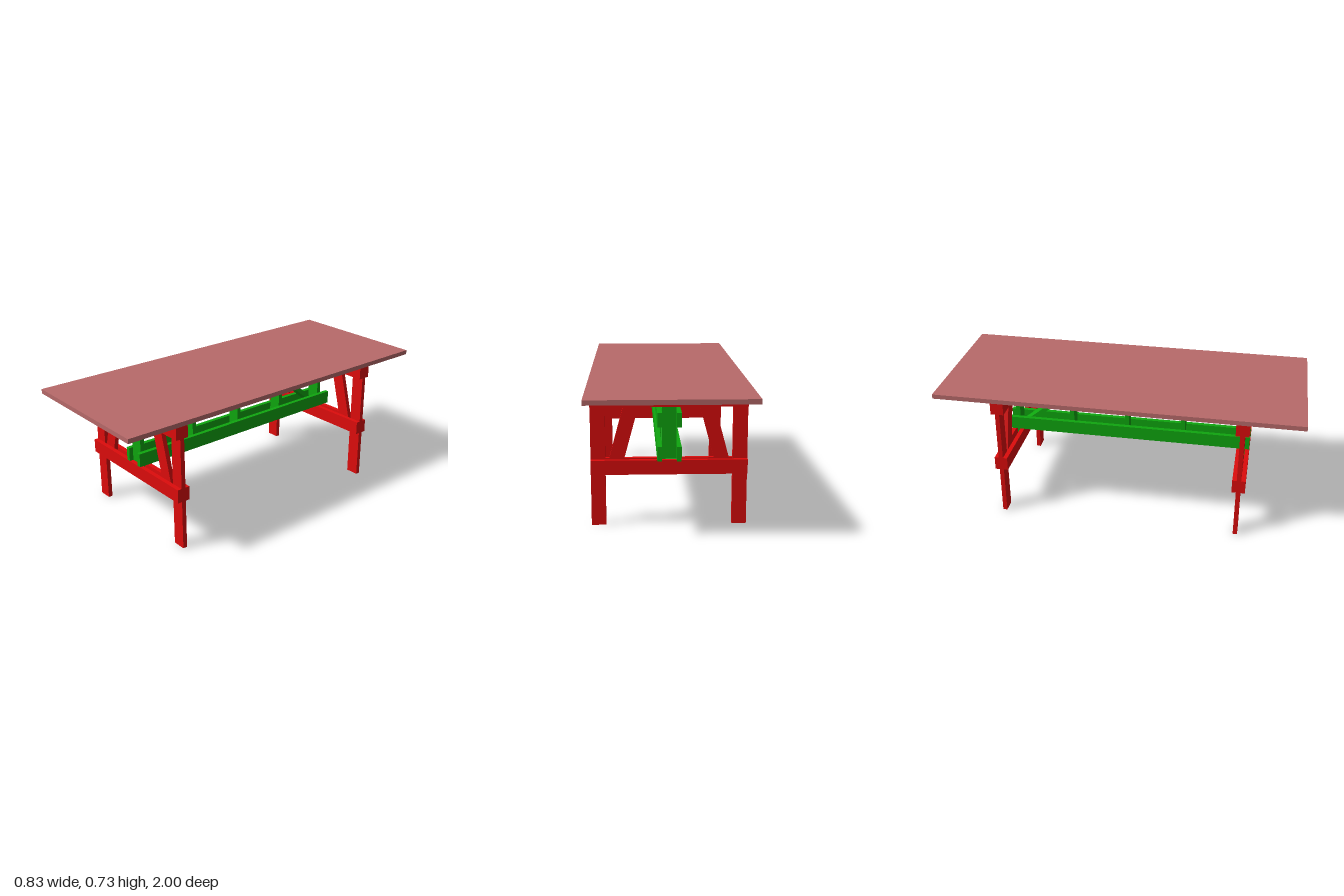
import * as THREE from 'three';

const T = 0.024; // board thickness
const W = 0.075; // board width

const red = new THREE.MeshStandardMaterial({ color: 0xdd0c0c });
const green = new THREE.MeshStandardMaterial({ color: 0x0fa60f });
const wood = new THREE.MeshStandardMaterial({ color: 0xb86a6a });

function addMesh(parent, name, geometry, material) {
  const mesh = new THREE.Mesh(geometry, material);
  mesh.name = name;
  parent.add(mesh);
  return mesh;
}

// Box given by its lower and upper bounds
function board(parent, name, material, [x0, x1], [y0, y1], [z0, z1]) {
  const mesh = addMesh(parent, name, new THREE.BoxGeometry(x1 - x0, y1 - y0, z1 - z0), material);
  mesh.position.set((x0 + x1) / 2, (y0 + y1) / 2, (z0 + z1) / 2);
  return mesh;
}

// Slanted board with level ends, extruded from its outline and centred in depth
function slantedBoard(parent, name, material, points, depth) {
  const shape = new THREE.Shape(points.map(([a, b]) => new THREE.Vector2(a, b)));
  const geometry = new THREE.ExtrudeGeometry(shape, { depth, bevelEnabled: false });
  geometry.translate(0, 0, -depth / 2);
  return addMesh(parent, name, geometry, material);
}

function createTrestle(z) {
  const trestle = new THREE.Group();
  trestle.name = 'trestle';
  trestle.position.z = z;
  const middle = [-T / 2, T / 2];

  for (const s of [-1, 1]) {
    // Leg
    const x = [0.325, 0.4].map((v) => v * s).sort((a, b) => a - b);
    board(trestle, 'leg', red, x, [0, 0.7], middle);

    // Diagonal brace held between the paired rails
    slantedBoard(trestle, 'legBrace', red,
      [[0.25 * s, 0.275], [0.327 * s, 0.275], [0.212 * s, 0.7], [0.135 * s, 0.7]], T);

    // Paired rails sandwiching the legs
    const side = [s * T / 2, s * T * 1.5].sort((a, b) => a - b);
    board(trestle, 'upperRail', red, [-0.4, 0.4], [0.625, 0.7], side);
    board(trestle, 'lowerRail', red, [-0.4, 0.4], [0.275, 0.35], side);
  }

  // Centre post between the rails
  board(trestle, 'centrePost', green, [-W / 2, W / 2], [0.275, 0.7], middle);
  return trestle;
}

function createStretcher() {
  const stretcher = new THREE.Group();
  stretcher.name = 'stretcher';

  // Two levels of paired long beams
  for (const s of [-1, 1]) {
    const x = [s * W / 2, s * (W / 2 + T)].sort((a, b) => a - b);
    for (const y of [0.35, 0.525]) {
      board(stretcher, 'longBeam', green, x, [y, y + W], [-0.708, 0.712]);
    }
  }

  // Upright spacers between the beams
  for (const z of [-0.321, 0.003, 0.328]) {
    board(stretcher, 'spacer', green, [-W / 2, W / 2], [0.35, 0.6], [z - T / 2, z + T / 2]);
  }

  // Single diagonal brace near the back; its outline is drawn in z and y
  const brace = slantedBoard(stretcher, 'beamBrace', green,
    [[0.62, 0.35], [0.66, 0.35], [0.355, 0.6], [0.316, 0.6]], W);
  brace.rotation.y = Math.PI / 2;
  return stretcher;
}

export function createModel() {
  const table = new THREE.Group();
  table.name = 'trestleTable';
  board(table, 'tableTop', wood, [-0.417, 0.417], [0.7, 0.725], [-1, 1]);
  table.add(createTrestle(0.677), createTrestle(-0.647), createStretcher());
  return table;
}
